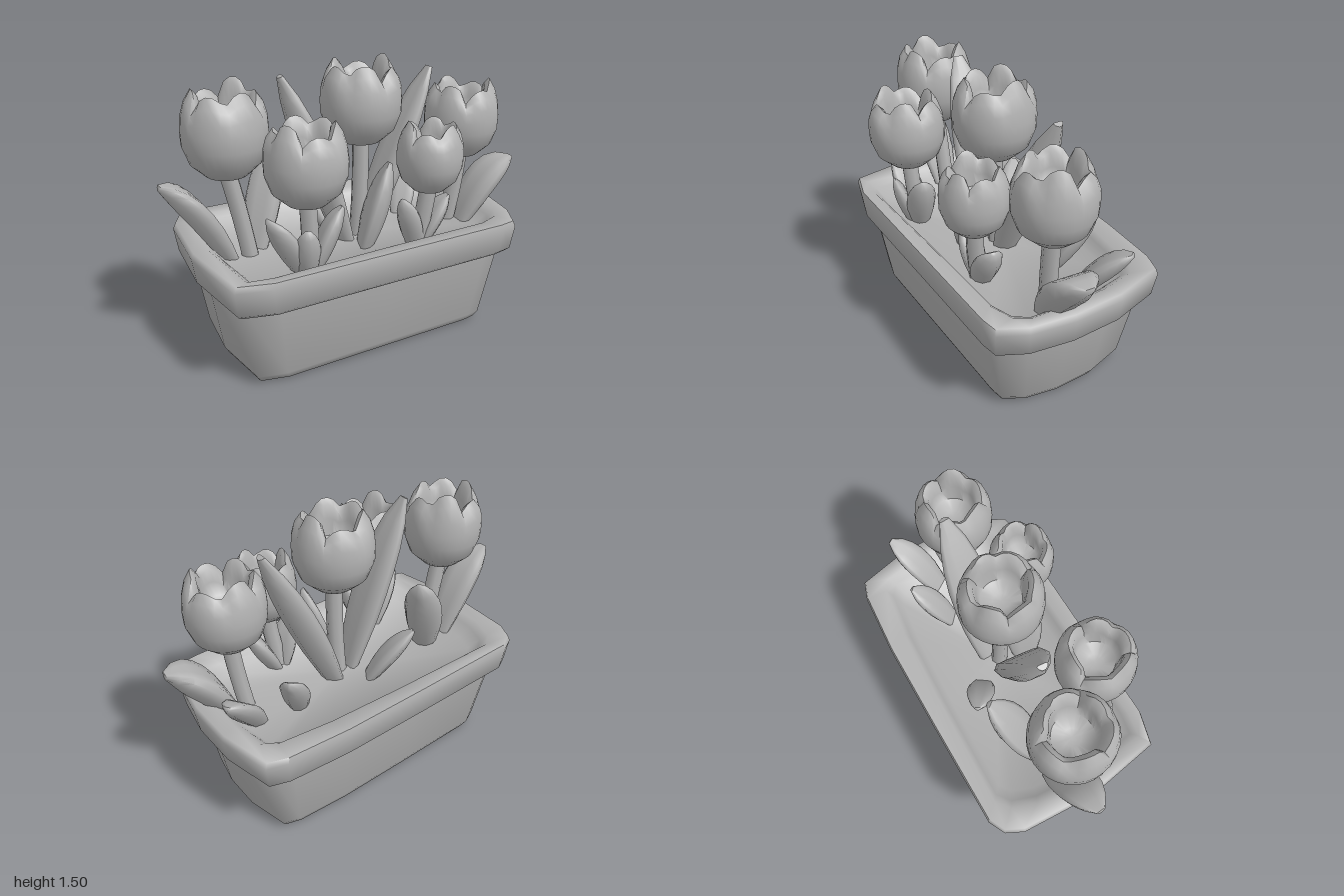
import * as THREE from 'three';
import { toCreasedNormals } from 'three/addons/utils/BufferGeometryUtils.js';

const V = (x, y, z) => new THREE.Vector3(x, y, z);

// Skin a list of equal-length rings (counter-clockwise about their travel) and cap both ends.
function loft(rings, crease) {
  const n = rings[0].length, pos = [], idx = [];
  const centre = r => r.reduce((s, p) => s.add(p), V(0, 0, 0)).divideScalar(n);
  rings.forEach(r => r.forEach(p => pos.push(p.x, p.y, p.z)));
  const last = rings.length - 1, c0 = rings.length * n, c1 = c0 + 1;
  [centre(rings[0]), centre(rings[last])].forEach(p => pos.push(p.x, p.y, p.z));
  for (let j = 0; j < n; j++) {
    const k = (j + 1) % n;
    for (let i = 0; i < last; i++) {
      const a = i * n + j, b = i * n + k;
      idx.push(a, b, a + n, b, b + n, a + n);
    }
    idx.push(c0, k, j, c1, last * n + j, last * n + k);
  }
  const g = new THREE.BufferGeometry();
  g.setAttribute('position', new THREE.Float32BufferAttribute(pos, 3));
  g.setIndex(idx);
  return toCreasedNormals(g, crease);
}

// Slightly skewed planter outlines, as x, z pairs
const OUTER = [[0.89, -0.12], [0.84, -0.40], [0.74, -0.44], [0.4, -0.48], [-0.1, -0.505], [-0.7, -0.53], [-0.79, -0.49],
  [-0.84, -0.40], [-0.88, 0], [-0.83, 0.42], [-0.66, 0.475], [0, 0.5], [0.66, 0.525], [0.75, 0.515], [0.83, 0.38], [0.88, 0.15]];
const INNER = [[0.76, -0.08], [0.74, -0.25], [0.68, -0.3], [0.4, -0.345], [0, -0.38], [-0.6, -0.42], [-0.67, -0.37],
  [-0.72, -0.25], [-0.75, 0], [-0.72, 0.36], [-0.6, 0.385], [0, 0.39], [0.56, 0.405], [0.68, 0.37], [0.73, 0.3], [0.75, 0.12]];
const ring = (outline, y, sx, sz) => outline.map(([x, z]) => V(x * sx, y, z * sz));

function potGeometry() {
  return loft([
    ring(OUTER, 0, 0.78, 0.67), ring(OUTER, 0.012, 0.82, 0.74), ring(OUTER, 0.05, 0.845, 0.775),
    ring(OUTER, 0.455, 0.915, 0.88),
    ring(OUTER, 0.45, 0.955, 0.94), ring(OUTER, 0.47, 0.98, 0.975), ring(OUTER, 0.6, 1, 1),
    ring(OUTER, 0.63, 0.985, 0.985), ring(INNER, 0.625, 1.05, 1.07), ring(INNER, 0.595, 1, 1),
    ring(INNER, 0.535, 0.93, 0.9),
  ], 1.3);
}

// Hollow cup with six overlapping petals; r = radius, h = height
function bloomGeometry(r, h, phase) {
  const seg = 30;
  // radius, height, how strongly the petal edge shapes this ring
  const profile = [[0.15, 0, 0], [0.5, 0.05, 0], [0.84, 0.2, 0], [0.99, 0.4, 0], [1, 0.56, 0.05],
    [0.97, 0.72, 0.3], [0.88, 0.87, 0.7], [0.72, 0.99, 1], [0.6, 0.93, 1], [0.55, 0.76, 0.5], [0.48, 0.56, 0], [0.2, 0.5, 0]];
  return loft(profile.map(([pr, py, w]) => Array.from({ length: seg }, (_, j) => {
    const a = j / seg * Math.PI * 2 + phase;
    const p = Math.abs(Math.sin(3 * (a - phase)));
    const outer = Math.floor(j / 5) % 2;
    const notch = w * 0.13 * Math.pow(1 - p, 1.3);
    const rad = r * pr * (1 + w * (outer ? 0.04 : -0.04));
    const y = h * (py - notch + w * (outer ? -0.05 : 0.02) + w * 0.03 * Math.sin(a * 2 + phase));
    return V(Math.cos(a) * rad, y, -Math.sin(a) * rad);
  })), 1);
}

// Thick cupped blade along a curve; its width lies level, across the lean
function leafGeometry(base, bend, tip, width) {
  const curve = new THREE.QuadraticBezierCurve3(base, bend, tip);
  const side = V(0, 1, 0).cross(V(tip.x - base.x, 0, tip.z - base.z)).normalize();
  const widths = [0.6, 0.8, 0.95, 1, 0.98, 0.86, 0.62, 0.22];
  return loft(widths.map((w, i) => {
    const t = i / (widths.length - 1), c = curve.getPoint(t);
    const normal = curve.getTangent(t).cross(side).normalize();
    const half = width * w / 2;
    return Array.from({ length: 10 }, (_, j) => {
      const a = j / 10 * Math.PI * 2, u = Math.cos(a);
      return c.clone().addScaledVector(side, u * half)
        .addScaledVector(normal, Math.sin(a) * half * 0.56 + (u * u - 0.5) * half * 0.35);
    });
  }), 1.2);
}

export function createModel() {
  const model = new THREE.Group();
  const clay = new THREE.MeshStandardMaterial({ color: 0xb2b2b2 });
  clay.name = 'plain grey';
  const add = (name, geometry, parent = model) => {
    const m = new THREE.Mesh(geometry, clay);
    m.name = name;
    parent.add(m);
    return m;
  };

  add('planter', potGeometry());

  // Tulips: head x, head z, bottom y, height, radius, stem foot x, stem foot z
  [[-0.65, -0.04, 0.97, 0.45, 0.21, -0.55, -0.04],
    [-0.39, 0.29, 0.885, 0.41, 0.2, -0.37, 0.26],
    [0.06, 0.04, 1.05, 0.435, 0.21, 0.05, 0.02],
    [0.30, 0.32, 0.83, 0.37, 0.17, 0.26, 0.28],
    [0.65, 0.13, 0.91, 0.42, 0.2, 0.6, 0.1],
  ].forEach(([x, z, y, h, r, fx, fz], i) => {
    const tulip = new THREE.Group();
    tulip.name = 'tulip';
    model.add(tulip);
    add('bloom', bloomGeometry(r, h, i * 0.7 + 0.3), tulip).position.set(x, y, z);
    const stem = new THREE.QuadraticBezierCurve3(V(fx, 0.5, fz), V((x + fx) / 2 + 0.01, 0.75, z), V(x, y + 0.03, z));
    add('stem', new THREE.TubeGeometry(stem, 6, 0.045, 8), tulip);
  });

  // Leaves: base, tip, blade width, upward bow (0 straight, 2 strongly arched)
  [[-0.64, 0.5, -0.08, -0.98, 0.97, -0.08, 0.22, 1.5],
    [0.66, 0.5, 0.14, 0.98, 0.86, 0.19, 0.25, 1.8],
    [-0.02, 0.5, 0.03, -0.36, 1.44, -0.02, 0.24, 0.45],
    [0.1, 0.5, 0.0, 0.51, 1.4, 0.01, 0.23, 0.25],
    [0.0, 0.5, 0.16, 0.13, 0.98, 0.21, 0.2, 0.2],
    [-0.39, 0.5, 0.24, -0.59, 0.85, 0.28, 0.17, 0.6],
    [-0.36, 0.5, 0.26, -0.21, 0.85, 0.31, 0.16, 0.6],
    [-0.39, 0.5, 0.28, -0.43, 0.79, 0.37, 0.13, 0.4],
    [0.26, 0.5, 0.27, 0.16, 0.8, 0.3, 0.15, 0.5],
    [0.28, 0.5, 0.27, 0.44, 0.78, 0.31, 0.16, 0.6],
    [-0.5, 0.5, -0.1, -0.28, 1.05, -0.25, 0.21, 0.5],
    [-0.02, 0.5, -0.13, -0.21, 0.82, -0.28, 0.15, 0.6],
    [0.4, 0.5, -0.07, 0.55, 0.83, -0.22, 0.15, 0.6],
    [0.62, 0.5, -0.02, 0.87, 0.83, -0.17, 0.17, 0.9],
  ].forEach(([bx, by, bz, tx, ty, tz, width, bow]) => {
    const base = V(bx, by, bz), tip = V(tx, ty, tz);
    const bend = base.clone().lerp(tip, 0.5);
    bend.y += bow * 0.25 * (ty - by);
    add('leaf', leafGeometry(base, bend, tip, width));
  });

  return model;
}
